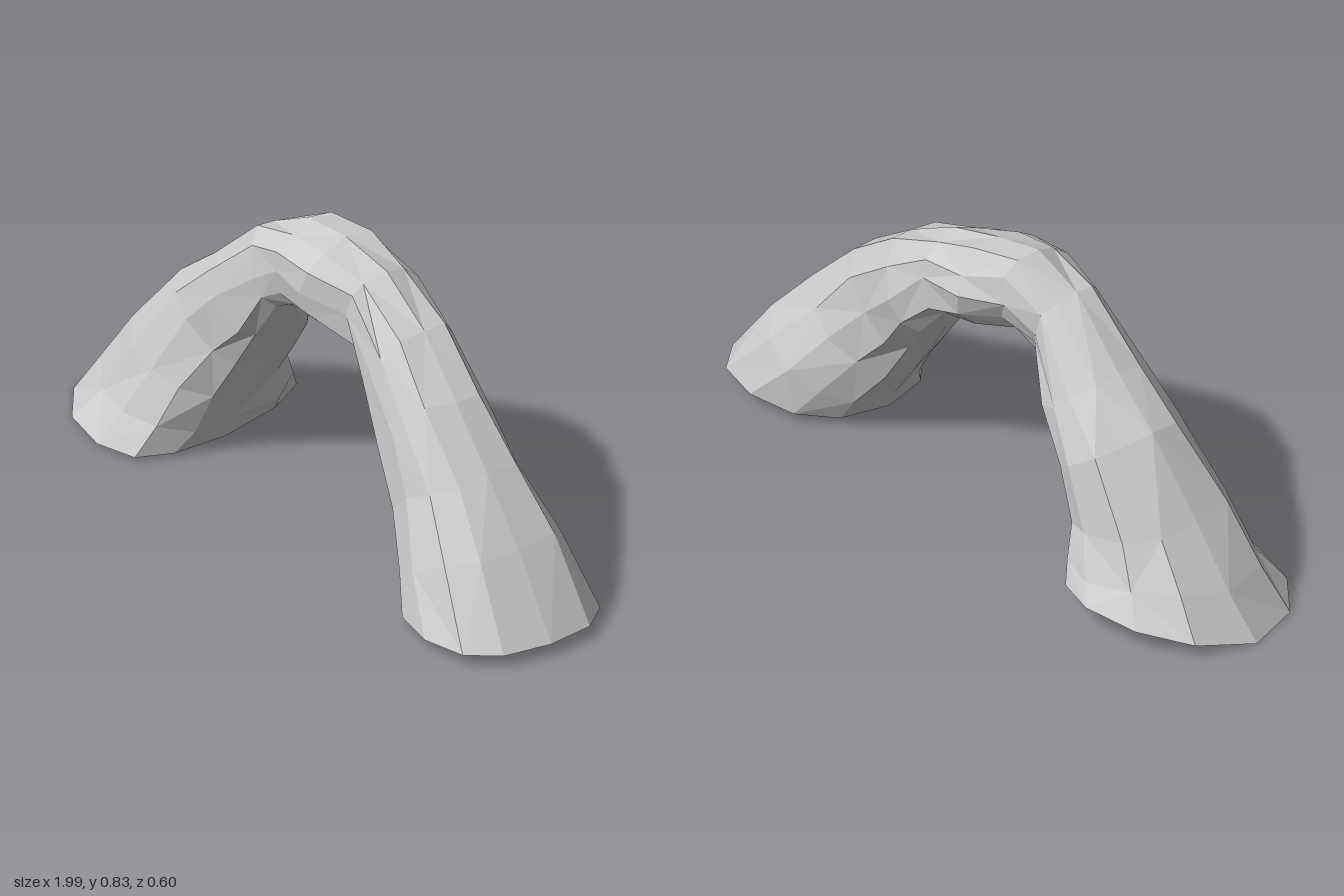
import * as THREE from 'three';

const SIDES = 12;

// Sections along the arch: crown x, y, underside x, y, back z, front z, skew to the crown side, lift of the back
const SECTIONS = [
  [-1.00, 0.01, -0.48, 0.02, -0.30, 0.30, -0.35, 0.06],
  [-0.90, 0.13, -0.45, 0.09, -0.26, 0.235, -0.25, 0.03],
  [-0.77, 0.29, -0.39, 0.20, -0.22, 0.19, -0.10, 0],
  [-0.61, 0.50, -0.33, 0.31, -0.20, 0.135, 0, 0],
  [-0.46, 0.61, -0.25, 0.43, -0.16, 0.115, 0, 0],
  [-0.27, 0.77, -0.17, 0.55, -0.11, 0.095, 0, 0],
  [-0.13, 0.84, -0.10, 0.60, -0.14, 0.10, 0, 0],
  [0.00, 0.83, 0.00, 0.57, -0.20, 0.10, 0, 0],
  [0.16, 0.79, 0.13, 0.55, -0.19, 0.05, 0, 0],
  [0.34, 0.69, 0.20, 0.45, -0.20, 0.07, 0, 0],
  [0.52, 0.56, 0.28, 0.34, -0.18, 0.10, 0, 0],
  [0.67, 0.41, 0.37, 0.21, -0.20, 0.13, 0, 0],
  [0.82, 0.25, 0.45, 0.10, -0.25, 0.19, 0.05, 0],
  [0.99, 0.045, 0.49, 0.03, -0.27, 0.24, 0.10, 0],
];

function seeded(seed) {
  return () => {
    seed = (seed * 16807) % 2147483647;
    return seed / 2147483647 - 0.5;
  };
}

// One slightly squared, roughened ring of rock
function ring([ox, oy, ix, iy, zb, zf, skew, lift], rough, rand) {
  const soft = (v) => Math.sign(v) * Math.pow(Math.abs(v), 0.85);
  const points = [];
  for (let j = 0; j < SIDES; j++) {
    const a = (j / SIDES) * Math.PI * 2;
    const s = soft(Math.sin(a));
    const u = (soft(Math.cos(a)) + skew * s * s) / 2;
    const wobble = j % (SIDES / 2) ? rough : 0;
    points.push(new THREE.Vector3(
      (ox + ix) / 2 + u * (ox - ix) + rand() * wobble,
      (oy + iy) / 2 + u * (oy - iy) + Math.max(0, -s) * lift + rand() * wobble,
      (zb + zf) / 2 + (s * (zf - zb)) / 2 + rand() * wobble * 0.5
    ));
  }
  return points;
}

function facetedMesh(name, points, material) {
  const geometry = new THREE.BufferGeometry().setFromPoints(points);
  geometry.computeVertexNormals();
  const mesh = new THREE.Mesh(geometry, material);
  mesh.name = name;
  return mesh;
}

export function createModel() {
  const group = new THREE.Group();
  group.name = 'rockArch';
  const material = new THREE.MeshStandardMaterial({
    color: 0xcccccc, flatShading: true, side: THREE.DoubleSide,
  });
  const rand = seeded(4711);
  const last = SECTIONS.length - 1;
  const rings = SECTIONS.map((s, i) => ring(s, i % last ? 0.03 : 0, rand));

  // Arch skin, with alternating diagonals for a craggy look
  const skin = [];
  for (let i = 0; i < last; i++) {
    for (let j = 0; j < SIDES; j++) {
      const k = (j + 1) % SIDES;
      const a = rings[i][j], b = rings[i][k], c = rings[i + 1][k], d = rings[i + 1][j];
      if ((i + j) % 2) skin.push(a, b, c, a, c, d);
      else skin.push(a, b, d, b, c, d);
    }
  }
  group.add(facetedMesh('archRock', skin, material));

  // Hollowed undersides of the two feet
  [['rightFootHollow', rings[0], false], ['leftFootHollow', rings[last], true]].forEach(([name, rim, flip]) => {
    const centre = new THREE.Vector3();
    rim.forEach((p) => centre.addScaledVector(p, 1 / SIDES));
    centre.y += 0.08;
    const fan = [];
    rim.forEach((p, j) => {
      const q = rim[(j + 1) % SIDES];
      fan.push(centre, ...(flip ? [p, q] : [q, p]));
    });
    group.add(facetedMesh(name, fan, material));
  });

  return group;
}
